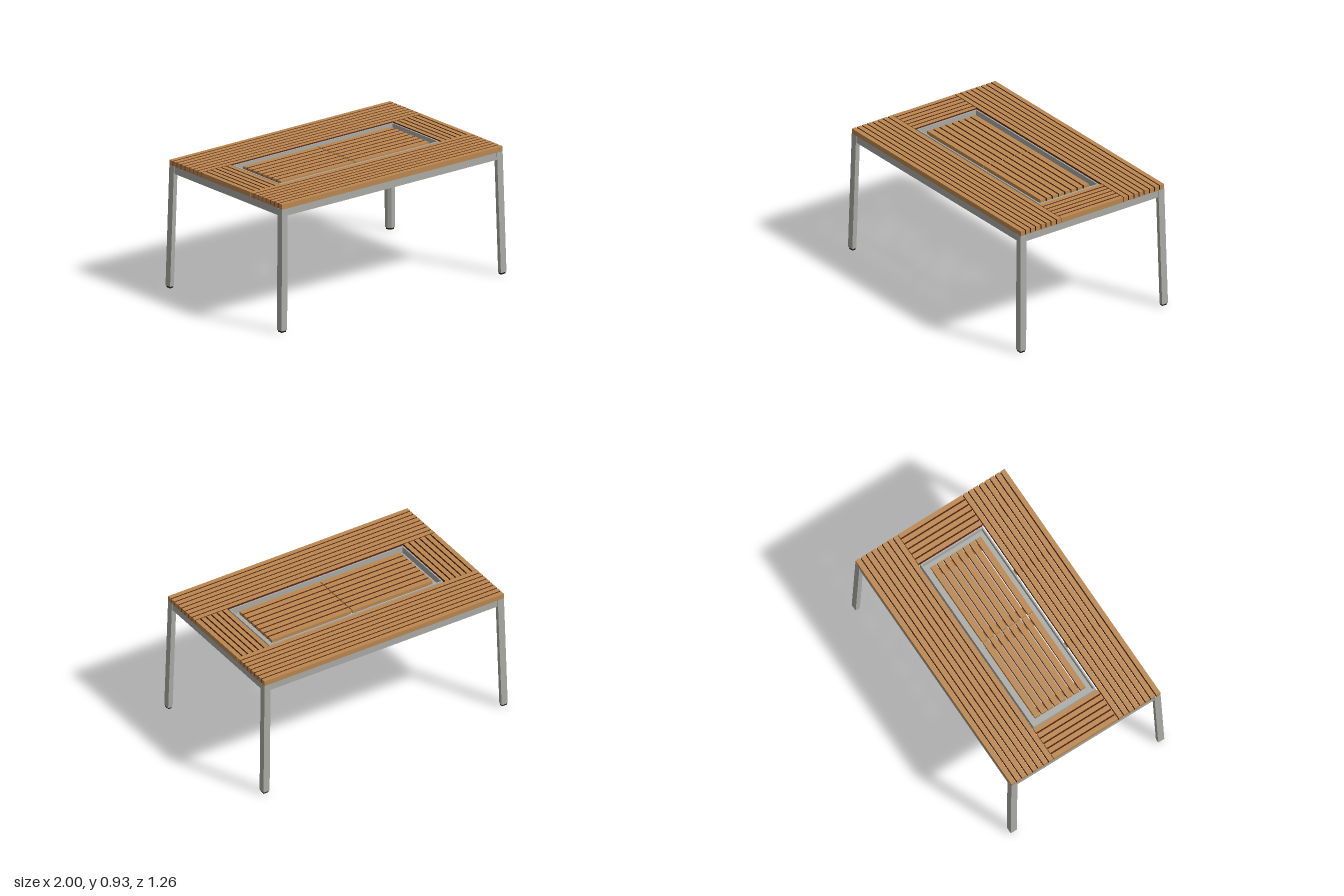
import * as THREE from 'three';

export function createModel() {
  const table = new THREE.Group();
  table.name = 'slattedTable';
  const mat = (name, color) => {
    const m = new THREE.MeshStandardMaterial({ color });
    m.name = name;
    return m;
  };
  const wood = mat('wood', 0xbb8850);
  const underside = mat('dark wood underside', 0x602818);
  const inner = mat('brown inner wood', 0x7a5632);
  const metal = mat('grey metal', 0xacada7);
  const rubber = mat('black rubber', 0x1e1e1e);
  // face order: +x, -x, top, bottom, +z, -z
  const longSlatMats = [wood, wood, wood, underside, underside, underside];
  const endSlatMats = [underside, underside, wood, underside, wood, wood];
  const supportMats = [metal, metal, inner, metal, metal, metal];
  const bearerMats = [wood, wood, inner, wood, wood, wood];
  // the outermost slats show plain wood on the given face
  const withWood = (mats, face) => mats.map((m, i) => (i === face ? wood : m));

  const group = (name, parent = table) => {
    const g = new THREE.Group();
    g.name = name;
    parent.add(g);
    return g;
  };
  // box given by its limits on each axis
  const box = (parent, name, material, [x0, x1], [y0, y1], [z0, z1]) => {
    const m = new THREE.Mesh(new THREE.BoxGeometry(x1 - x0, y1 - y0, z1 - z0), material);
    m.position.set((x0 + x1) / 2, (y0 + y1) / 2, (z0 + z1) / 2);
    m.name = name;
    parent.add(m);
    return m;
  };
  // limits mirrored to the side s
  const side = (s, a, b) => (s > 0 ? [a, b] : [-b, -a]);

  const TOP = 0.927, SEAT = 0.89, LOW = 0.836;
  const slatY = [SEAT, TOP];

  // long slats at front and back, short cross slats at both ends
  const slats = group('topSlats');
  for (const s of [1, -1]) {
    for (let i = 0; i < 8; i++) {
      const z = 0.2875 + i * 0.0441;
      const mats = i === 7 ? withWood(longSlatMats, s > 0 ? 4 : 5) : longSlatMats;
      box(slats, 'longSlat', mats, [-0.98, 0.98], slatY, side(s, z - 0.0175, z + 0.0175));
    }
    for (let i = 0; i < 6; i++) {
      const x = 0.74 + i * 0.0446;
      const mats = i === 5 ? withWood(endSlatMats, s > 0 ? 0 : 1) : endSlatMats;
      box(slats, 'endSlat', mats, side(s, x - 0.017, x + 0.017), slatY, [-0.264, 0.264]);
    }
  }

  // apron rails, support rails and corner braces
  const frame = group('frame');
  for (const s of [1, -1]) {
    box(frame, 'longApron', metal, [-0.94, 0.94], [LOW, SEAT], side(s, 0.58, 0.61));
    box(frame, 'endApron', metal, side(s, 0.945, 0.975), [LOW, SEAT], [-0.575, 0.575]);
    box(frame, 'endSupport', supportMats, side(s, 0.712, 0.945), [0.86, SEAT], [-0.017, 0.017]);
    for (const t of [1, -1]) {
      box(frame, 'crossSupport', supportMats, side(t, 0.3, 0.335), [0.86, SEAT], side(s, 0.256, 0.58));
      const brace = box(frame, 'cornerBrace', metal, [-0.062, 0.062], [0.842, 0.885], [-0.015, 0.015]);
      brace.position.x = s * 0.908;
      brace.position.z = t * 0.542;
      brace.rotation.y = s * t * Math.PI / 4;
    }
  }

  // tray: upright rim with an inner ledge
  const tray = group('centreTray');
  for (const s of [1, -1]) {
    box(tray, 'trayLongRim', metal, [-0.712, 0.712], [0.858, 0.924], side(s, 0.246, 0.256));
    box(tray, 'trayEndRim', metal, side(s, 0.702, 0.712), [0.858, 0.924], [-0.246, 0.246]);
    box(tray, 'trayLongLedge', metal, [-0.702, 0.702], [0.858, 0.874], side(s, 0.205, 0.246));
    box(tray, 'trayEndLedge', metal, side(s, 0.63, 0.702), [0.858, 0.874], [-0.205, 0.205]);
  }

  // two removable slatted panels, each on a rectangular wooden bearer frame
  for (const s of [1, -1]) {
    const panel = group(s > 0 ? 'leftPanel' : 'rightPanel');
    for (let i = 0; i < 8; i++) {
      const z = (i - 3.5) * 0.053;
      const mats = i === 0 ? withWood(longSlatMats, 5) : i === 7 ? withWood(longSlatMats, 4) : longSlatMats;
      box(panel, 'panelSlat', mats, side(s, 0.004, 0.658), [0.893, 0.918], [z - 0.021, z + 0.021]);
    }
    for (const [a, b] of [[0.03, 0.075], [0.585, 0.63]])
      box(panel, 'panelBearer', bearerMats, side(s, a, b), [0.858, 0.893], [-0.205, 0.205]);
    for (const t of [1, -1])
      box(panel, 'panelEdgeBearer', bearerMats, side(s, 0.075, 0.585), [0.858, 0.893], side(t, 0.172, 0.205));
  }

  // splayed post: square section with the inner corner cut off, leaning outwards
  const post = (name, material, sx, sz, y0, y1, inset) => {
    const a = inset, b = 0.05 - inset, c = 0.03;
    const pts = [[a, a], [b, a], [b, c], [c, b], [a, b]];
    const shape = new THREE.Shape(pts.map(([x, z]) => new THREE.Vector2(sx * (1 - x), -sz * (0.632 - z))));
    const geo = new THREE.ExtrudeGeometry(shape, { depth: y1 - y0, bevelEnabled: false });
    geo.rotateX(-Math.PI / 2).translate(0, y0, 0);
    const p = geo.attributes.position;
    for (let i = 0; i < p.count; i++) {
      const k = p.getY(i) / SEAT;
      p.setX(i, p.getX(i) - sx * 0.02 * k);
      p.setZ(i, p.getZ(i) - sz * 0.018 * k);
    }
    geo.computeVertexNormals();
    const m = new THREE.Mesh(geo, material);
    m.name = name;
    return m;
  };
  for (const sx of [1, -1])
    for (const sz of [1, -1]) {
      const leg = group((sz > 0 ? 'front' : 'back') + (sx > 0 ? 'Left' : 'Right') + 'Leg');
      leg.add(post('legPost', metal, sx, sz, 0.013, SEAT, 0));
      leg.add(post('footCap', rubber, sx, sz, 0, 0.013, 0.005));
    }
  return table;
}
